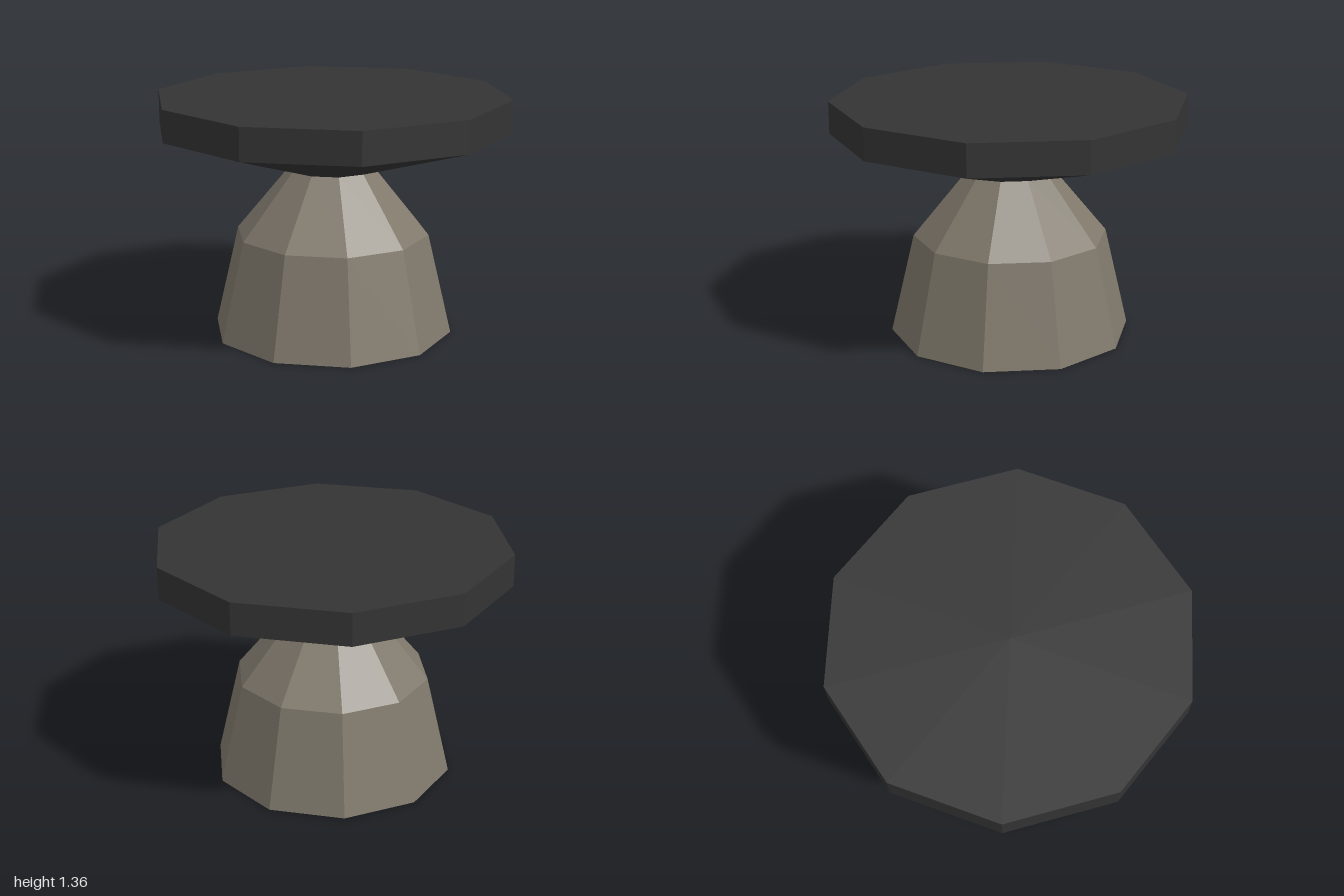
import * as THREE from 'three';

const SIDES = 10;

// Faceted ten-sided turning of a [radius, height] profile, with corners on the z axis
function turned(name, profile, material) {
  const points = profile.map(([r, y]) => new THREE.Vector2(r, y));
  const geometry = new THREE.LatheGeometry(points, SIDES).toNonIndexed();
  geometry.computeVertexNormals();
  const mesh = new THREE.Mesh(geometry, material);
  mesh.name = name;
  return mesh;
}

export function createModel() {
  const stone = new THREE.MeshStandardMaterial({ color: 0x80796c, flatShading: true });
  stone.name = 'taupe stone';
  const dark = new THREE.MeshStandardMaterial({ color: 0x343434, flatShading: true });
  dark.name = 'charcoal';

  const group = new THREE.Group();
  group.name = 'pedestalTable';

  // Hollow foot: recess ceiling, inner wall, bottom ring, then the outer wall
  group.add(turned('hollowBase', [
    [0, 0.365], [0.36, 0.365], [0.49, 0.285], [0.555, 0],
    [0.685, 0], [0.55, 0.57], [0.245, 0.94], [0, 0.94],
  ], stone));

  // Top: flared underside, upright rim and flat surface
  group.add(turned('tableTop', [
    [0, 0.94], [0.245, 0.94], [1, 1.175], [1, 1.355], [0, 1.355],
  ], dark));

  return group;
}
